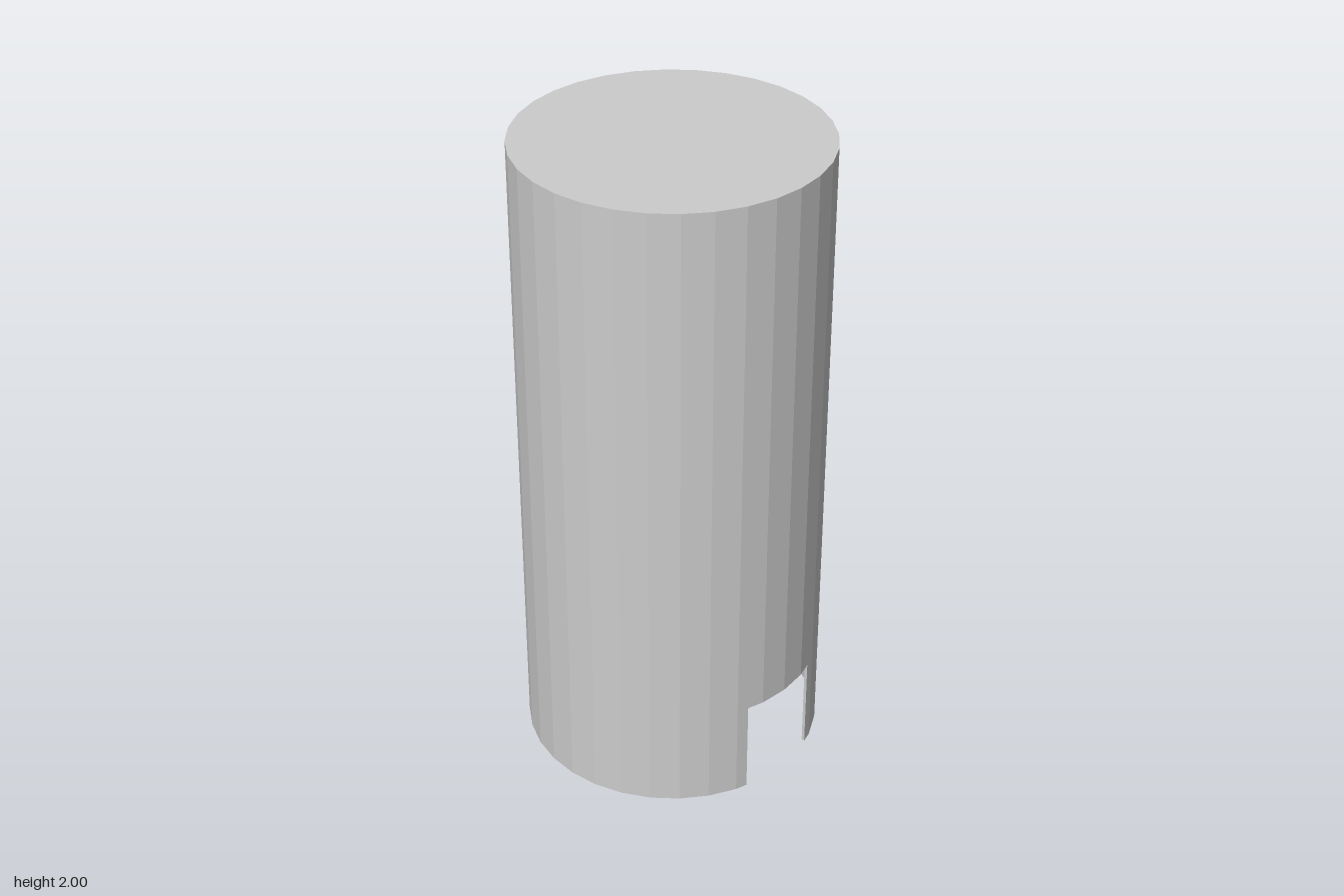
import * as THREE from 'three';

const SIDES = 32, RADIUS = 0.46, WALL = 0.01, HEIGHT = 2;
const NOTCH_HALF = 0.14, NOTCH_TOP = 0.305;

// Regular polygon outline with extra points where the notch edges cross it
function outline(r) {
  const points = [];
  const corner = (i) => {
    const a = (i / SIDES) * Math.PI * 2;
    return new THREE.Vector2(r * Math.cos(a), r * Math.sin(a));
  };
  for (let i = 0; i < SIDES; i++) {
    const p = corner(i), q = corner(i + 1);
    points.push(p);
    for (const z of [-NOTCH_HALF, NOTCH_HALF]) {
      if ((p.y - z) * (q.y - z) < 0) points.push(p.clone().lerp(q, (z - p.y) / (q.y - p.y)));
    }
  }
  return points;
}

export function createModel() {
  const group = new THREE.Group();
  group.name = 'notchedCap';
  const material = new THREE.MeshStandardMaterial({
    color: 0xcccccc, flatShading: true, side: THREE.DoubleSide,
  });

  const outer = outline(RADIUS), inner = outline(RADIUS - WALL);
  const n = outer.length, ceiling = HEIGHT - WALL;
  const wall = [], top = [];
  const tri = (out, ...pts) => pts.forEach((p) => out.push(...p));
  const quad = (out, a, b, c, d) => tri(out, a, b, c, a, c, d);
  const at = (p, y) => [p.x, y, p.y];
  const bottomOf = (i) => {
    const z = (outer[i].y + outer[(i + 1) % n].y) / 2;
    return Math.abs(z) < NOTCH_HALF ? NOTCH_TOP : 0;
  };

  for (let i = 0; i < n; i++) {
    const j = (i + 1) % n;
    const a = outer[i], b = outer[j], c = inner[i], d = inner[j];
    const y = bottomOf(i), next = bottomOf(j);
    // Outside, inside and lower rim of each wall facet
    quad(wall, at(a, y), at(a, HEIGHT), at(b, HEIGHT), at(b, y));
    quad(wall, at(c, y), at(d, y), at(d, ceiling), at(c, ceiling));
    quad(wall, at(a, y), at(b, y), at(d, y), at(c, y));
    // Upright sides of the notches
    if (y < next) quad(wall, at(b, y), at(b, next), at(d, next), at(d, y));
    if (y > next) quad(wall, at(b, next), at(d, next), at(d, y), at(b, y));
    // Closed top, above and below
    tri(top, [0, HEIGHT, 0], at(b, HEIGHT), at(a, HEIGHT));
    tri(top, [0, ceiling, 0], at(c, ceiling), at(d, ceiling));
  }

  for (const [name, positions] of [['tubeWall', wall], ['topDisc', top]]) {
    const geometry = new THREE.BufferGeometry();
    geometry.setAttribute('position', new THREE.Float32BufferAttribute(positions, 3));
    geometry.computeVertexNormals();
    const mesh = new THREE.Mesh(geometry, material);
    mesh.name = name;
    group.add(mesh);
  }
  return group;
}
